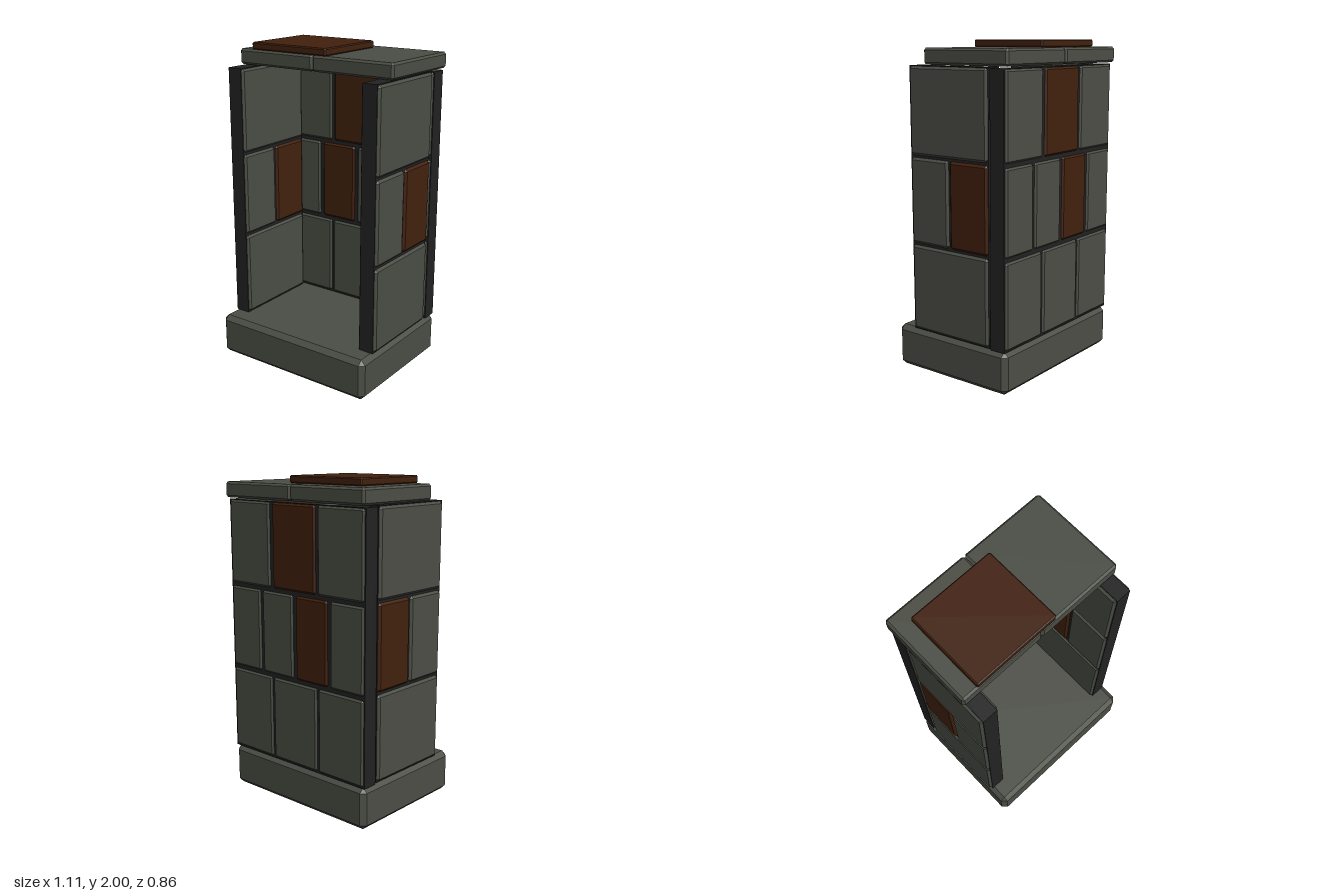
import * as THREE from 'three';
import { ConvexGeometry } from 'three/addons/geometries/ConvexGeometry.js';

const stone = new THREE.MeshStandardMaterial({ color: 0x4b4e45 });
const rust = new THREE.MeshStandardMaterial({ color: 0x42200d });
const mortar = new THREE.MeshStandardMaterial({ color: 0x222222 });
stone.name = 'grey stone';
rust.name = 'rust brown';
mortar.name = 'dark mortar';

// Block given by its limits, with every edge chamfered by b
function block(parent, name, material, [x0, x1], [y0, y1], [z0, z1], b = 0) {
  const size = [x1 - x0, y1 - y0, z1 - z0];
  let geometry;
  if (b > 0) {
    const points = [];
    for (const sx of [-1, 1]) for (const sy of [-1, 1]) for (const sz of [-1, 1]) {
      for (let axis = 0; axis < 3; axis++) {
        const p = size.map((s, i) => s / 2 - (i === axis ? 0 : b));
        points.push(new THREE.Vector3(p[0] * sx, p[1] * sy, p[2] * sz));
      }
    }
    geometry = new ConvexGeometry(points);
  } else {
    geometry = new THREE.BoxGeometry(...size);
  }
  const mesh = new THREE.Mesh(geometry, material);
  mesh.name = name;
  mesh.position.set((x0 + x1) / 2, (y0 + y1) / 2, (z0 + z1) / 2);
  parent.add(mesh);
}

export function createModel() {
  const model = new THREE.Group();
  model.name = 'stoneAlcove';

  block(model, 'base', stone, [-0.55, 0.55], [0, 0.26], [-0.41, 0.43], 0.03);

  // Heights of the three courses
  const rows = [[0.265, 0.79], [0.805, 1.32], [1.335, 1.85]];

  // Back wall: mortar core with stones showing on both faces
  const back = new THREE.Group();
  back.name = 'backWall';
  model.add(back);
  block(back, 'backCore', mortar, [-0.545, 0.545], [0.26, 1.85], [-0.4, -0.302]);
  const backStones = [
    [[-0.543, -0.19], [-0.185, 0.185], [0.19, 0.543]],
    [[-0.543, -0.285], [-0.27, -0.01], [0.005, 0.27], [0.28, 0.543]],
    [[-0.543, -0.19], [-0.18, 0.175], [0.19, 0.543]],
  ];
  rows.forEach((y, r) => backStones[r].forEach((x, i) => {
    block(back, 'backStone', r > 0 && i === 1 ? rust : stone, x, y, [-0.411, -0.29], 0.016);
  }));

  // Side walls, mirrored
  const sideStones = [[[-0.28, 0.296]], [[-0.28, -0.003], [0.008, 0.296]], [[-0.28, 0.296]]];
  for (const s of [-1, 1]) {
    const wall = new THREE.Group();
    wall.name = s > 0 ? 'leftWall' : 'rightWall';
    model.add(wall);
    const span = (a, b) => (s > 0 ? [a, b] : [-b, -a]);
    block(wall, 'sideCore', mortar, span(0.438, 0.534), [0.26, 1.855], [-0.283, 0.3]);
    rows.forEach((y, r) => sideStones[r].forEach((z, i) => {
      block(wall, 'sideStone', r === 1 && i === 0 ? rust : stone, span(0.425, 0.548), y, z, 0.014);
    }));
  }

  // Roof slabs and the loose plate on top
  for (const x of [[-0.553, 0], [0, 0.553]]) {
    block(model, 'roofSlab', stone, x, [1.86, 1.955], [-0.43, 0.175], 0.013);
  }
  block(model, 'topPlate', rust, [-0.452, 0.098], [1.955, 2], [-0.33, 0.175], 0.007);

  return model;
}
